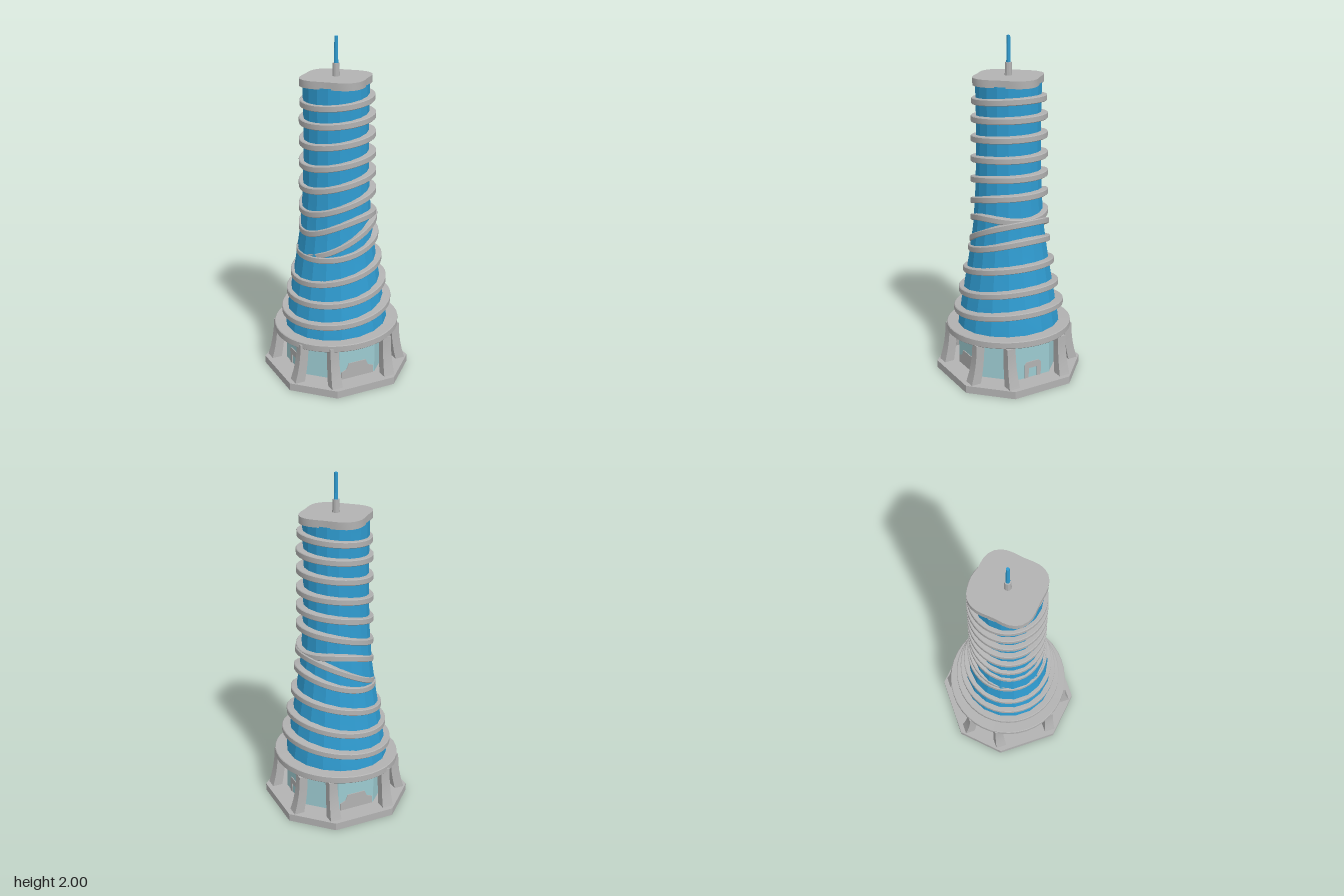
import * as THREE from 'three';
import { toCreasedNormals } from 'three/addons/utils/BufferGeometryUtils.js';

const paint = (name, color) => {
  const m = new THREE.MeshStandardMaterial({ color });
  m.name = name;
  return m;
};

export function createModel() {
  const group = new THREE.Group();
  group.name = 'tower';
  const grey = paint('concrete grey', 0xb2b2b2);
  const blue = paint('glass blue', 0x2f9bd0);
  const teal = paint('pale teal glass', 0x9ccad0);

  const add = (name, geo, mat, crease = 0.6, parent = group) => {
    const mesh = new THREE.Mesh(toCreasedNormals(geo, crease), mat);
    mesh.name = name;
    parent.add(mesh);
    return mesh;
  };

  // Horizontal slab from an outline in x and z
  const slab = (points, height, y) => {
    const geo = new THREE.ExtrudeGeometry(new THREE.Shape(points), { depth: height, bevelEnabled: false });
    return geo.rotateX(-Math.PI / 2).translate(0, y, 0);
  };

  // Band round the tower: heights at the right (-x), middle (z) and left (+x)
  const band = (low, mid, high, inner, outer, height, shift) => {
    const n = 40, b = 0.004, h = height / 2, pos = [], idx = [];
    const section = [[inner, -h], [outer - b, -h], [outer, b - h], [outer, h - b], [outer - b, h], [inner, h]];
    const s = section.length;
    for (let i = 0; i < n; i++) {
      const a = (i / n) * Math.PI * 2, c = Math.cos(a);
      const y = mid + ((high - low) / 2) * c + ((high + low) / 2 - mid) * c * c;
      for (const [r, dy] of section) pos.push(r * c + shift, y + dy, r * Math.sin(a));
      for (let k = 0; k < s; k++) {
        const j = (i + 1) % n, l = (k + 1) % s;
        const p = i * s + k, q = i * s + l, u = j * s + l, v = j * s + k;
        idx.push(p, q, u, p, u, v);
      }
    }
    const geo = new THREE.BufferGeometry();
    geo.setAttribute('position', new THREE.Float32BufferAttribute(pos, 3));
    geo.setIndex(idx);
    return geo;
  };

  // Octagonal plinth
  const e = 0.392, f = 0.185;
  const octagon = [[f, e], [-f, e], [-e, f], [-e, -f], [-f, -e], [f, -e], [e, -f], [e, f]];
  add('plinth', slab(octagon.map(([x, z]) => new THREE.Vector2(x, z)), 0.045, 0), grey);

  // Eight-sided glazed lobby
  const lobby = new THREE.CylinderGeometry(0.3, 0.3, 0.24, 8).rotateY(Math.PI / 8).translate(0, 0.155, 0);
  add('lobby', lobby, teal);

  // Doors: wide at front and back, narrow arches on the sides
  const wide = new THREE.Shape([[-0.105, 0], [0.105, 0], [0.105, 0.045], [0.07, 0.06], [0.055, 0.095],
    [-0.055, 0.095], [-0.07, 0.06], [-0.105, 0.045]].map(p => new THREE.Vector2(...p)));
  const narrow = new THREE.Shape([[-0.055, 0], [-0.028, 0], [-0.028, 0.06], [0.028, 0.06], [0.028, 0], [0.055, 0],
    [0.055, 0.085], [0.04, 0.1], [-0.04, 0.1], [-0.055, 0.085]].map(p => new THREE.Vector2(...p)));
  for (let i = 0; i < 4; i++) {
    const geo = new THREE.ExtrudeGeometry(i % 2 ? narrow : wide, { depth: 0.006, bevelEnabled: false });
    geo.translate(0, 0.045, 0.276).rotateY((i * Math.PI) / 2);
    add(i % 2 ? 'sideDoor' : 'mainDoor', geo, grey);
  }

  // Flared pillars, two on each side of the lobby
  for (let i = 0; i < 4; i++) {
    for (const side of [-1, 1]) {
      const geo = new THREE.BoxGeometry(1, 1, 1, 1, 4, 1);
      const p = geo.attributes.position;
      for (let v = 0; v < p.count; v++) {
        const t = p.getY(v) + 0.5, flare = (1 - t) ** 2;
        const z = p.getZ(v) > 0 ? 0.325 + 0.04 * flare : 0.275 + 0.03 * flare;
        p.setXYZ(v, side * 0.17 + p.getX(v) * (0.052 + 0.016 * flare), 0.04 + t * 0.24, z);
      }
      geo.rotateY((i * Math.PI) / 2);
      add('pillar', geo, grey);
    }
  }

  // Canopy ring over the lobby
  add('canopyRing', band(0.272, 0.29, 0.306, 0.2, 0.37, 0.042, 0), grey);

  // Tapering faceted shaft
  const profile = [[0.308, 0.26], [0.3, 0.34], [0.272, 0.5], [0.238, 0.7], [0.209, 0.9], [0.194, 1.1],
    [0.187, 1.3], [0.184, 1.5], [0.188, 1.745]].map(p => new THREE.Vector2(...p));
  add('shaft', new THREE.LatheGeometry(profile, 18), blue, 0.1);

  // Tilted bands: right, middle and left height, outer radius
  const bands = [
    [1.632, 1.65, 1.67, 0.212], [1.53, 1.55, 1.567, 0.217], [1.41, 1.44, 1.46, 0.218],
    [1.285, 1.325, 1.345, 0.22], [1.155, 1.21, 1.237, 0.222], [1.015, 1.09, 1.13, 0.223],
    [0.895, 0.99, 0.985, 0.225], [0.76, 0.88, 0.98, 0.232], [0.755, 0.795, 0.87, 0.24],
    [0.61, 0.665, 0.72, 0.268], [0.5, 0.53, 0.585, 0.295], [0.38, 0.41, 0.46, 0.325],
  ];
  for (const [low, mid, high, r] of bands) {
    add('band', band(low, mid, high, r - 0.075, r, 0.036, r < 0.25 ? 0.008 : 0), grey);
  }

  // Roof: a square with swollen sides, corners on the axes
  const roof = [];
  for (let i = 0; i < 40; i++) {
    const a = (i / 40) * Math.PI * 2;
    const r = 0.199 + 0.017 * Math.cos(4 * a);
    roof.push(new THREE.Vector2(r * Math.cos(a), r * Math.sin(a)));
  }
  add('roof', slab(roof, 0.042, 1.738), grey);

  // Mast
  add('mastBase', new THREE.CylinderGeometry(0.019, 0.021, 0.075, 10).translate(0, 1.815, 0), grey);
  add('mast', new THREE.CylinderGeometry(0.01, 0.013, 0.16, 8).translate(0, 1.92, 0), blue);

  return group;
}
